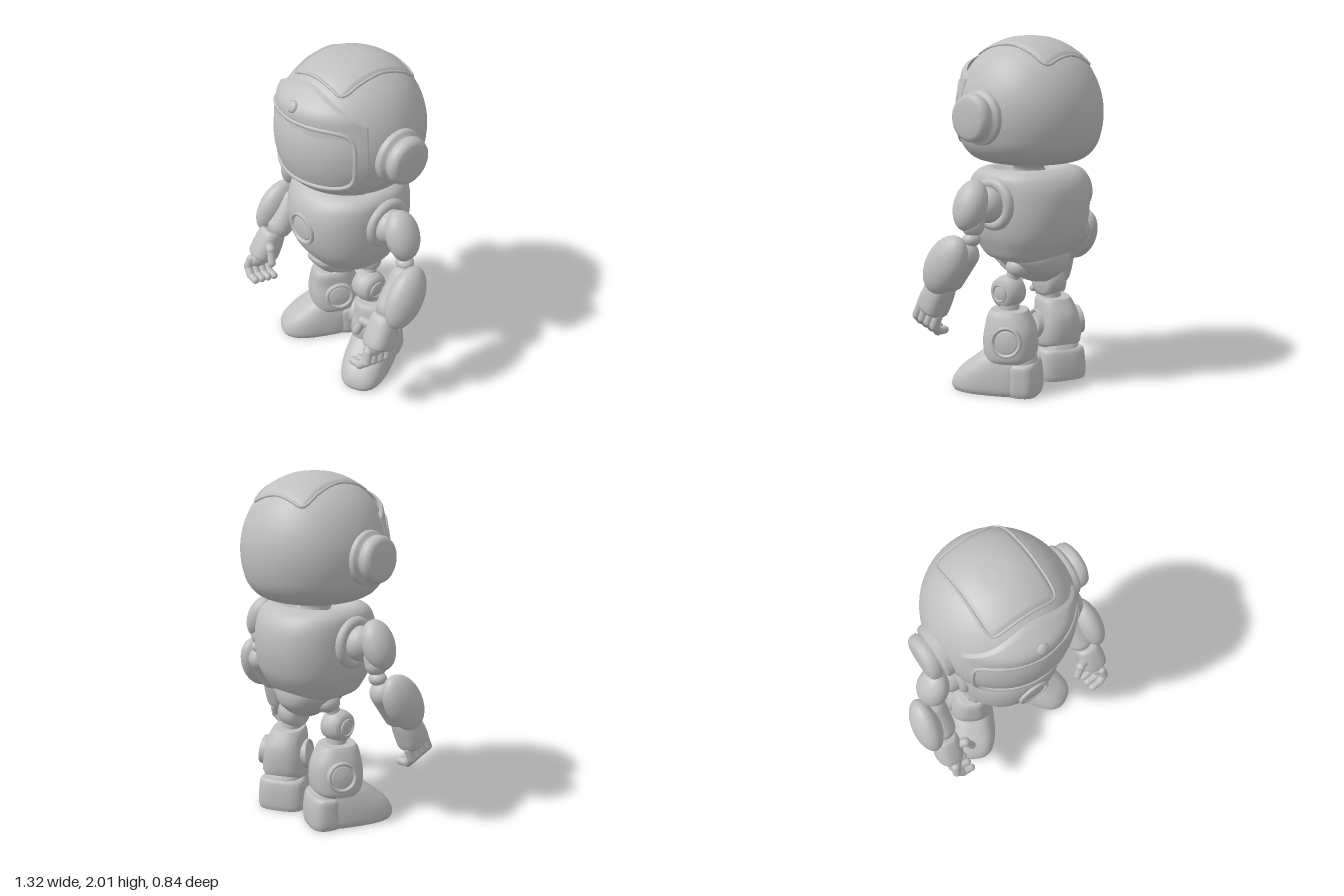
import * as THREE from 'three';
import { mergeVertices } from 'three/addons/utils/BufferGeometryUtils.js';

const V = (x, y, z) => new THREE.Vector3(x, y, z);
const shell = new THREE.MeshStandardMaterial({ color: 0xc0c0c0, side: THREE.DoubleSide });
shell.name = 'light grey shell';

function add(parent, name, geo, pos = [0, 0, 0], rot = [0, 0, 0], scale = [1, 1, 1]) {
  const m = new THREE.Mesh(geo, shell);
  m.name = name;
  m.position.set(...pos);
  m.rotation.set(...rot);
  m.scale.set(...scale);
  parent.add(m);
  return m;
}

// Smooth surface from a function of u, v
function grid(fn, nu, nv) {
  const pos = [], idx = [];
  for (let j = 0; j <= nv; j++) for (let i = 0; i <= nu; i++) pos.push(...fn(i / nu, j / nv));
  for (let j = 0; j < nv; j++) for (let i = 0; i < nu; i++) {
    const a = j * (nu + 1) + i, b = a + 1, c = a + nu + 1, d = c + 1;
    idx.push(a, b, d, a, d, c);
  }
  let g = new THREE.BufferGeometry();
  g.setAttribute('position', new THREE.Float32BufferAttribute(pos, 3));
  g.setIndex(idx);
  g = mergeVertices(g, 1e-5);
  g.computeVertexNormals();
  return g;
}

const spow = (c, n) => Math.sign(c) * Math.abs(c) ** (2 / n);

// Closed loft through superellipse sections [y, rx, rz, cx, cz], bottom to top
function loft(sections, n = 2, nu = 48) {
  const s = sections.map(([y, rx, rz, cx = 0, cz = 0]) => [V(y, rx, rz), V(cx, cz, 0)]);
  const size = new THREE.CatmullRomCurve3(s.map((q) => q[0]));
  const mid = new THREE.CatmullRomCurve3(s.map((q) => q[1].setZ(0)), false, 'catmullrom');
  const steps = (s.length - 1) * 5, rings = [];
  for (let i = 0; i <= steps; i++) rings.push([size.getPoint(i / steps), mid.getPoint(i / steps), 1]);
  const a = rings[0], b = rings[steps];
  rings.unshift([a[0], a[1], 0], [a[0], a[1], 0.96]);
  rings.push([b[0], b[1], 0.96], [b[0], b[1], 0]);
  return grid((u, v) => {
    const [p, c, k] = rings[Math.round(v * (rings.length - 1))], t = -(u % 1) * Math.PI * 2;
    return [c.x + k * p.y * spow(Math.cos(t), n), p.x, c.y + k * p.z * spow(Math.sin(t), n)];
  }, nu, rings.length - 1);
}

const lathe = (pts) => new THREE.LatheGeometry(pts.map(([r, y]) => new THREE.Vector2(r, y)), 40);
const ball = new THREE.SphereGeometry(1, 36, 24);
const tube = (pts, r, closed) =>
  new THREE.TubeGeometry(new THREE.CatmullRomCurve3(pts.map((p) => V(...p)), closed), 120, r, 8, closed);

// Turn a mesh so its y axis runs from a to b
function along(m, a, b) {
  const p = V(...a), q = V(...b);
  m.position.copy(p).add(q).multiplyScalar(0.5);
  m.quaternion.setFromUnitVectors(V(0, 1, 0), q.sub(p).normalize());
  return m;
}
const capsule = (parent, name, a, b, r) =>
  along(add(parent, name, new THREE.CapsuleGeometry(r, V(...a).distanceTo(V(...b)), 8, 18)), a, b);

// Mirrored copy with geometry baked, so faces still point outward
function mirrored(group, name) {
  const out = new THREE.Group();
  out.name = name;
  group.updateMatrixWorld(true);
  group.traverse((m) => {
    if (!m.isMesh) return;
    const g = m.geometry.clone().applyMatrix4(m.matrixWorld).applyMatrix4(new THREE.Matrix4().makeScale(-1, 1, 1));
    const ix = g.index.array;
    for (let i = 0; i < ix.length; i += 3) [ix[i], ix[i + 1]] = [ix[i + 1], ix[i]];
    add(out, m.name, g);
  });
  return out;
}

// Raised ring with a shallow dome, facing +y
const hub = (r, h) => lathe([[r, -0.03], [r, h * 0.6], [r * 0.95, h], [r * 0.84, h], [r * 0.78, h * 0.3], [r * 0.72, h * 0.3], [r * 0.66, h * 0.8], [0, h]]);

function buildHead() {
  const head = new THREE.Group();
  head.name = 'head';
  const profile = [[0, 1.3], [0.12, 1.3], [0.22, 1.302], [0.31, 1.332], [0.367, 1.395], [0.395, 1.48], [0.405, 1.57],
    [0.398, 1.66], [0.368, 1.76], [0.31, 1.86], [0.22, 1.94], [0.11, 1.987], [0, 2]];
  const pts = new THREE.CatmullRomCurve3(profile.map(([r, y]) => V(r, y, 0))).getPoints(300);
  const look = (key, val, q) => {
    for (let i = pts.length - 1; i > 0; i--) {
      const a = pts[i], b = pts[i - 1];
      if ((a[key] - q) * (b[key] - q) <= 0 && a[key] !== b[key])
        return a[val] + (b[val] - a[val]) * (q - a[key]) / (b[key] - a[key]);
    }
    return pts[0][val];
  };
  const surf = (a, y, s) => {
    const r = look('y', 'x', y) * s;
    return [r * Math.sin(a), y, -0.01 + 1.035 * r * Math.cos(a)];
  };
  const dome = new THREE.LatheGeometry(pts.filter((_, i) => i % 5 === 0).map((p) => new THREE.Vector2(Math.max(p.x, 0), p.y)), 72);
  add(head, 'helmet', dome, [0, 0, -0.01], [0, 0, 0], [1, 1, 1.035]);

  // Face mask with a heavy brow and a sunken window
  const maskScale = (a, y) => 1.015 + 0.12 * Math.exp(-(((y - 1.84) / 0.08) ** 2)) * Math.max(0, Math.cos(a));
  add(head, 'faceMask', grid((u, v) => {
    const a = (u * 2 - 1) * 1.12, y = 1.315 + (0.605 - 0.15 * (a / 1.12) ** 2) * v;
    const d = Math.abs(a / 0.93) ** 5 + Math.abs((y - 1.585) / 0.18) ** 5;
    const lip = u === 0 || u === 1 || v === 1 ? 0.05 : 0;
    return surf(a, y, maskScale(a, y) - lip - 0.045 * (1 - THREE.MathUtils.smoothstep(d, 0.8, 1.05)));
  }, 110, 80));
  const windowPoint = (t, k, drop) => {
    const a = 0.93 * k * spow(Math.cos(t), 5), y = 1.585 + 0.175 * k * spow(Math.sin(t), 5);
    return surf(a, y, maskScale(a, y) - drop);
  };
  add(head, 'visor', grid((u, v) => windowPoint((u % 1) * Math.PI * 2, v * 0.97, 0.024), 96, 20));
  const rim = Array.from({ length: 72 }, (_, i) => windowPoint(i / 72 * Math.PI * 2, 1, 0.006));
  add(head, 'visorRim', tube(rim, 0.012, true));
  add(head, 'browLamp', lathe([[0.033, -0.03], [0.033, 0.008], [0.024, 0.018], [0, 0.02]]), [0, 1.828, 0.37], [1.1, 0, 0]);

  // Panel on the crown
  const crown = (x, z, h) => [x, look('x', 'y', Math.hypot(x, (z + 0.01) / 1.035)) + h, z];
  add(head, 'crownPanel', grid((u, v) => {
    const edge = u === 0 || u === 1 || v === 0 || v === 1;
    return crown(0.2 * (1 - 2 * u), -0.3 + 0.52 * v, edge ? -0.01 : 0.007);
  }, 28, 36));
  const outline = [];
  for (let i = 0; i < 64; i++) {
    const t = i / 64 * Math.PI * 2;
    outline.push(crown(0.2 * spow(Math.cos(t), 9), -0.04 + 0.26 * spow(Math.sin(t), 9), 0.004));
  }
  add(head, 'crownRim', tube(outline, 0.008, true));

  // Neck
  add(head, 'neck', lathe([[0.1, 1.2], [0.085, 1.24], [0.095, 1.255], [0.085, 1.27], [0.11, 1.285], [0.12, 1.31]]));
  return head;
}

function buildTorso() {
  const torso = new THREE.Group();
  torso.name = 'torso';
  add(torso, 'chest', loft([[0.755, 0.215, 0.2], [0.775, 0.245, 0.235], [0.83, 0.273, 0.28], [0.9, 0.3, 0.318], [1, 0.315, 0.342],
    [1.1, 0.316, 0.346], [1.18, 0.312, 0.33], [1.235, 0.3, 0.295], [1.268, 0.265, 0.24], [1.272, 0.22, 0.19],
    [1.25, 0.17, 0.14], [1.235, 0.1, 0.1]], 2.3, 64));
  add(torso, 'chestDisc', hub(0.097, 0.02), [0, 1.05, 0.335], [Math.PI / 2, 0, 0]);
  add(torso, 'pelvis', loft([[0.62, 0.06, 0.08, 0, -0.06], [0.65, 0.1, 0.13, 0, -0.06], [0.7, 0.15, 0.19, 0, -0.05],
    [0.76, 0.195, 0.23, 0, -0.025], [0.82, 0.21, 0.25, 0, 0]], 2.2));
  add(torso, 'frontPlate', loft([[0.615, 0.06, 0.04, 0, 0.03], [0.66, 0.075, 0.06, 0, 0.09], [0.72, 0.085, 0.07, 0, 0.16],
    [0.77, 0.085, 0.07, 0, 0.2], [0.8, 0.065, 0.06, 0, 0.22]], 3));
  return torso;
}

function buildArm() {
  const arm = new THREE.Group();
  arm.name = 'leftArm';
  // Shoulder and upper arm
  add(arm, 'shoulderSocket', new THREE.TorusGeometry(0.115, 0.032, 14, 40), [0.305, 1.09, -0.01], [0, Math.PI / 2, 0]);
  add(arm, 'shoulderBall', ball, [0.345, 1.09, 0], [0, 0, 0], [0.09, 0.1, 0.1]);
  along(add(arm, 'shoulderPad', ball, [0, 0, 0], [0, 0, 0], [0.083, 0.143, 0.1]), [0.505, 0.98, 0.015], [0.41, 1.22, 0.015]);
  capsule(arm, 'upperArm', [0.42, 1.08, 0.01], [0.455, 0.99, 0], 0.062);
  capsule(arm, 'elbowRod', [0.455, 1, 0], [0.475, 0.86, 0.01], 0.032);
  add(arm, 'elbowJoint', ball, [0.468, 0.915, 0], [0, 0, 0], [0.052, 0.04, 0.05]);
  // Forearm, outer guard and cuff
  capsule(arm, 'forearm', [0.49, 0.83, 0.03], [0.5, 0.69, 0.13], 0.08);
  along(add(arm, 'forearmGuard', ball, [0, 0, 0], [0, 0, 0], [0.083, 0.185, 0.122]), [0.595, 0.65, 0.18], [0.56, 0.91, 0.005]);
  const a = [0.515, 0.66, 0.175], b = [0.535, 0.5, 0.25];
  along(add(arm, 'cuff', loft([[-0.1, 0.072, 0.08], [-0.085, 0.08, 0.088], [0, 0.083, 0.085], [0.08, 0.072, 0.072], [0.095, 0.062, 0.06]], 2.6)), b, a);
  // Hand
  add(arm, 'palm', ball, [0.53, 0.5, 0.265], [0.35, 0, 0], [0.05, 0.06, 0.085]);
  for (let i = 0; i < 4; i++) {
    const z = 0.335 - i * 0.047, y = 0.5 - i * 0.013;
    const p = [[0.545, y, z], [0.555, y - 0.055, z + 0.02], [0.515, y - 0.095, z + 0.033], [0.46, y - 0.1, z + 0.036]];
    for (let k = 0; k < 3; k++) capsule(arm, 'finger', p[k], p[k + 1], 0.027 - k * 0.002);
  }
  const thumb = [[0.475, 0.6, 0.245], [0.425, 0.61, 0.265], [0.395, 0.53, 0.285]];
  for (let k = 0; k < 2; k++) capsule(arm, 'thumb', thumb[k], thumb[k + 1], 0.028 - k * 0.004);
  return arm;
}

function buildLeg() {
  const leg = new THREE.Group();
  leg.name = 'leftLeg';
  const toOuter = [0, 0, -Math.PI / 2], toInner = [0, 0, Math.PI / 2];
  // Hip and knee
  add(leg, 'hipBall', ball, [0.14, 0.71, -0.04], [0, 0, 0], [0.065, 0.06, 0.07]);
  capsule(leg, 'hipRod', [0.15, 0.72, -0.035], [0.17, 0.6, -0.01], 0.04);
  add(leg, 'knee', lathe([[0, -0.075], [0.06, -0.073], [0.085, -0.055], [0.095, -0.02], [0.095, 0.02], [0.085, 0.055], [0.06, 0.073], [0, 0.075]]),
    [0.175, 0.57, 0], toOuter);
  add(leg, 'kneeDisc', hub(0.053, 0.012), [0.245, 0.57, 0], toOuter);
  capsule(leg, 'kneeRod', [0.18, 0.54, -0.01], [0.185, 0.44, -0.02], 0.058);
  // Lower leg, toes turned out
  const lower = new THREE.Group();
  lower.name = 'lowerLeg';
  lower.position.set(0.2, 0, -0.04);
  lower.rotation.y = 0.48;
  leg.add(lower);
  add(lower, 'shin', loft([[0.19, 0.13, 0.13, 0, 0.005], [0.215, 0.14, 0.145], [0.3, 0.137, 0.155], [0.38, 0.122, 0.145],
    [0.45, 0.105, 0.12, -0.01, 0.01], [0.475, 0.092, 0.105, -0.012, 0.01]], 2.5));
  add(lower, 'outerDisc', hub(0.088, 0.016), [0.134, 0.32, -0.01], [0, 0, -Math.PI / 2 + 0.12]);
  add(lower, 'innerDisc', hub(0.088, 0.016), [-0.134, 0.32, -0.01], [0, 0, Math.PI / 2 - 0.12]);
  // Boot: sections given as height, toe, heel, half width
  const boot = [[0, 0.335, -0.165, 0.132], [0.025, 0.345, -0.17, 0.142], [0.07, 0.333, -0.17, 0.143], [0.12, 0.295, -0.168, 0.138],
    [0.17, 0.235, -0.16, 0.128], [0.215, 0.175, -0.14, 0.112], [0.25, 0.12, -0.1, 0.08]];
  add(lower, 'boot', loft(boot.map(([y, f, k, w]) => [y, w, (f - k) / 2, 0, (f + k) / 2]), 2.7, 56));
  add(lower, 'heelCap', loft([[0, 0.138, 0.09, 0, -0.085], [0.03, 0.146, 0.095, 0, -0.085], [0.12, 0.142, 0.093, 0, -0.083],
    [0.17, 0.135, 0.085, 0, -0.08], [0.185, 0.122, 0.075, 0, -0.08]], 2.9));
  return leg;
}

export function createModel() {
  const robot = new THREE.Group();
  robot.name = 'robot';
  const arm = buildArm(), leg = buildLeg();
  const ear = new THREE.Group();
  ear.name = 'leftEar';
  add(ear, 'earPad', lathe([[0.15, 0.34], [0.15, 0.4], [0.142, 0.415], [0.122, 0.417], [0.12, 0.432], [0.13, 0.437], [0.129, 0.465],
    [0.12, 0.484], [0.1, 0.495], [0.05, 0.5], [0, 0.5]]), [0, 1.57, 0], [0, 0, -Math.PI / 2]);
  robot.add(buildHead(), buildTorso(), arm, leg, ear,
    mirrored(arm, 'rightArm'), mirrored(leg, 'rightLeg'), mirrored(ear, 'rightEar'));
  return robot;
}
